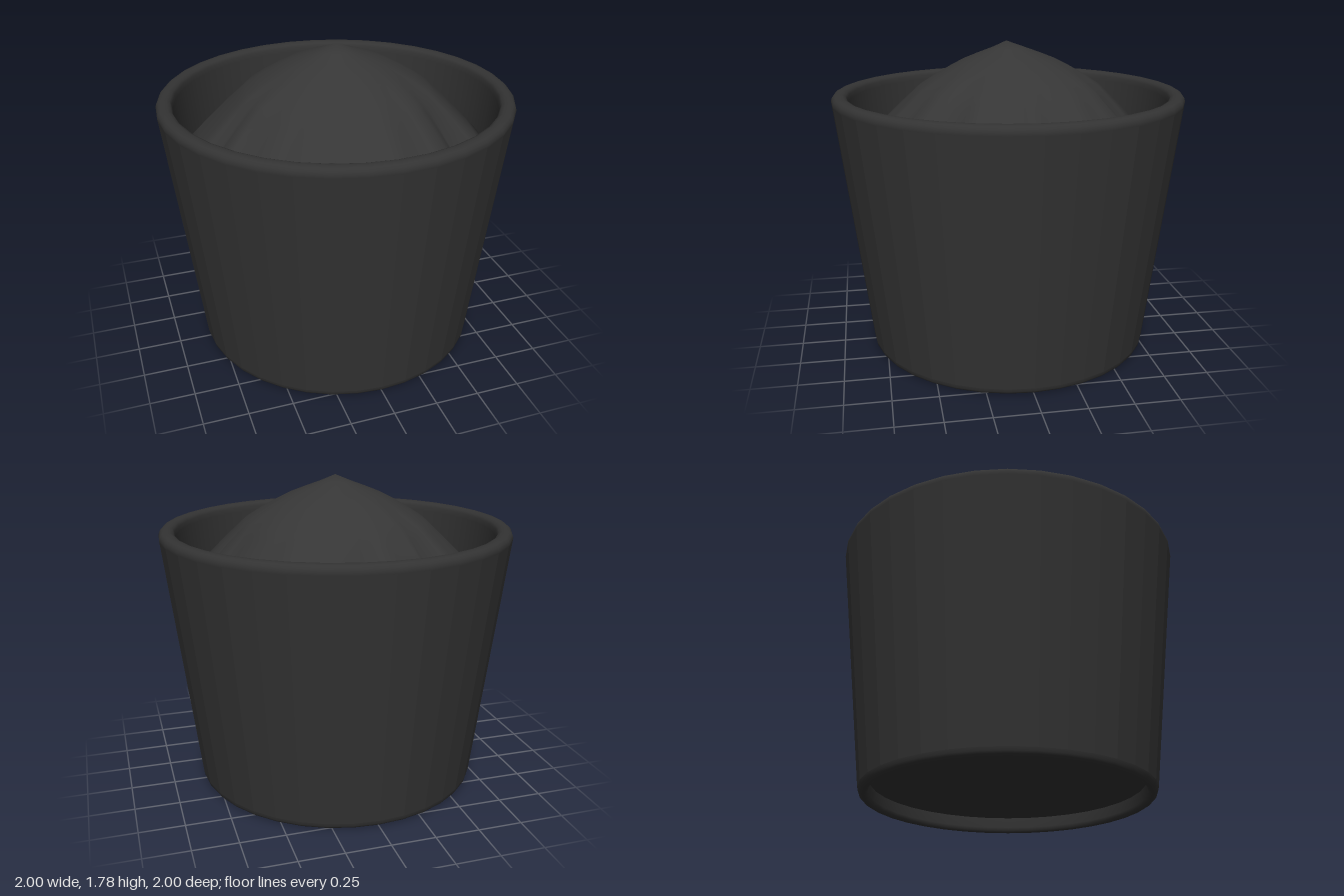
import * as THREE from 'three';

// One turned section of the pot, profile given as [radius, height]
function turned(name, profile, flatShading) {
  const points = profile.map(([r, y]) => new THREE.Vector2(r, y));
  const material = new THREE.MeshStandardMaterial({ color: 0x333333, flatShading });
  const mesh = new THREE.Mesh(new THREE.LatheGeometry(points, 36), material);
  mesh.name = name;
  return mesh;
}

// Tapered bucket: foot ring under a raised base, faceted wall, rounded lip, hollow inside
function createPot() {
  const pot = new THREE.Group();
  pot.name = 'pot';
  pot.add(
    turned('base', [[0, 0.09], [0.764, 0.09]], true),
    turned('footRing', [
      [0.764, 0.09], [0.764, 0.03], [0.768, 0.012], [0.777, 0.003], [0.788, 0], [0.798, 0.002],
      [0.81, 0.01], [0.818, 0.022], [0.822, 0.04],
    ], false),
    turned('outerWall', [[0.822, 0.04], [0.997, 1.45]], true),
    turned('lip', [
      [0.997, 1.45], [0.999, 1.465], [0.993, 1.483], [0.98, 1.495], [0.962, 1.5], [0.938, 1.499],
      [0.92, 1.491], [0.911, 1.475], [0.908, 1.45],
    ], false),
    turned('innerWall', [[0.908, 1.45], [0.772, 0.1]], false),
    turned('floor', [[0.772, 0.1], [0, 0.1]], true),
  );
  return pot;
}

// Wavy outline of the mound, [x, z] running from the left side round by the front
const OUTLINE = [
  [0.87, 0.06], [0.83, 0.24], [0.80, 0.37], [0.73, 0.46], [0.59, 0.49], [0.55, 0.6], [0.5, 0.7],
  [0.4, 0.78], [0.27, 0.76], [0.2, 0.85], [0.1, 0.86], [0, 0.85], [-0.1, 0.86], [-0.2, 0.85],
  [-0.27, 0.79], [-0.34, 0.74], [-0.45, 0.75], [-0.5, 0.66], [-0.58, 0.6], [-0.7, 0.52],
  [-0.71, 0.37], [-0.82, 0.34], [-0.83, 0.22], [-0.8, 0.13], [-0.86, 0.07], [-0.87, -0.02],
  [-0.84, -0.15], [-0.81, -0.33], [-0.75, -0.43], [-0.68, -0.53], [-0.6, -0.63], [-0.43, -0.63],
  [-0.38, -0.78], [-0.22, -0.75], [-0.1, -0.86], [0.03, -0.75], [0.12, -0.86], [0.25, -0.8],
  [0.4, -0.7], [0.52, -0.7], [0.6, -0.6], [0.65, -0.5], [0.77, -0.4], [0.78, -0.2],
  [0.82, -0.1], [0.86, -0.01], [0.82, 0.025],
];

// Rings down the mound: [share of the outline, height]; the last ones are the drooping hem
const RINGS = [
  [0.11, 1.743], [0.22, 1.709], [0.325, 1.674], [0.42, 1.633], [0.52, 1.584], [0.61, 1.532],
  [0.665, 1.485], [0.74, 1.42], [0.82, 1.345], [0.91, 1.26], [1, 1.175], [0.985, 1.1], [0.96, 1.02],
];

// Draped mound: round at the crown, pleated toward the edge, lower in each pleat
function createMound() {
  const positions = [0, 1.78, 0.01];
  const index = [];
  const n = OUTLINE.length;
  RINGS.forEach(([share, y], r) => {
    const pleat = THREE.MathUtils.smoothstep(share, 0.35, 1);
    const shift = 0.02 * (1 - pleat) * share;
    OUTLINE.forEach(([x, z]) => {
      const edge = Math.hypot(x, z);
      const radius = share * THREE.MathUtils.lerp(0.83, edge, pleat);
      const dip = 0.5 * pleat * Math.max(0, 0.85 - edge);
      positions.push((x / edge) * radius + shift, y - dip, (z / edge) * radius - shift);
    });
    for (let j = 0; j < n; j++) {
      const k = (j + 1) % n;
      const outer = 1 + r * n;
      const inner = outer - n;
      if (r === 0) index.push(0, outer + k, outer + j);
      else index.push(inner + j, outer + k, outer + j, inner + j, inner + k, outer + k);
    }
  });
  const geometry = new THREE.BufferGeometry();
  geometry.setAttribute('position', new THREE.Float32BufferAttribute(positions, 3));
  geometry.setIndex(index);
  geometry.computeVertexNormals();
  const material = new THREE.MeshStandardMaterial({ color: 0x363636, side: THREE.DoubleSide });
  const mound = new THREE.Mesh(geometry, material);
  mound.name = 'mound';
  return mound;
}

export function createModel() {
  const group = new THREE.Group();
  group.name = 'filledPot';
  group.add(createPot(), createMound());
  return group;
}
